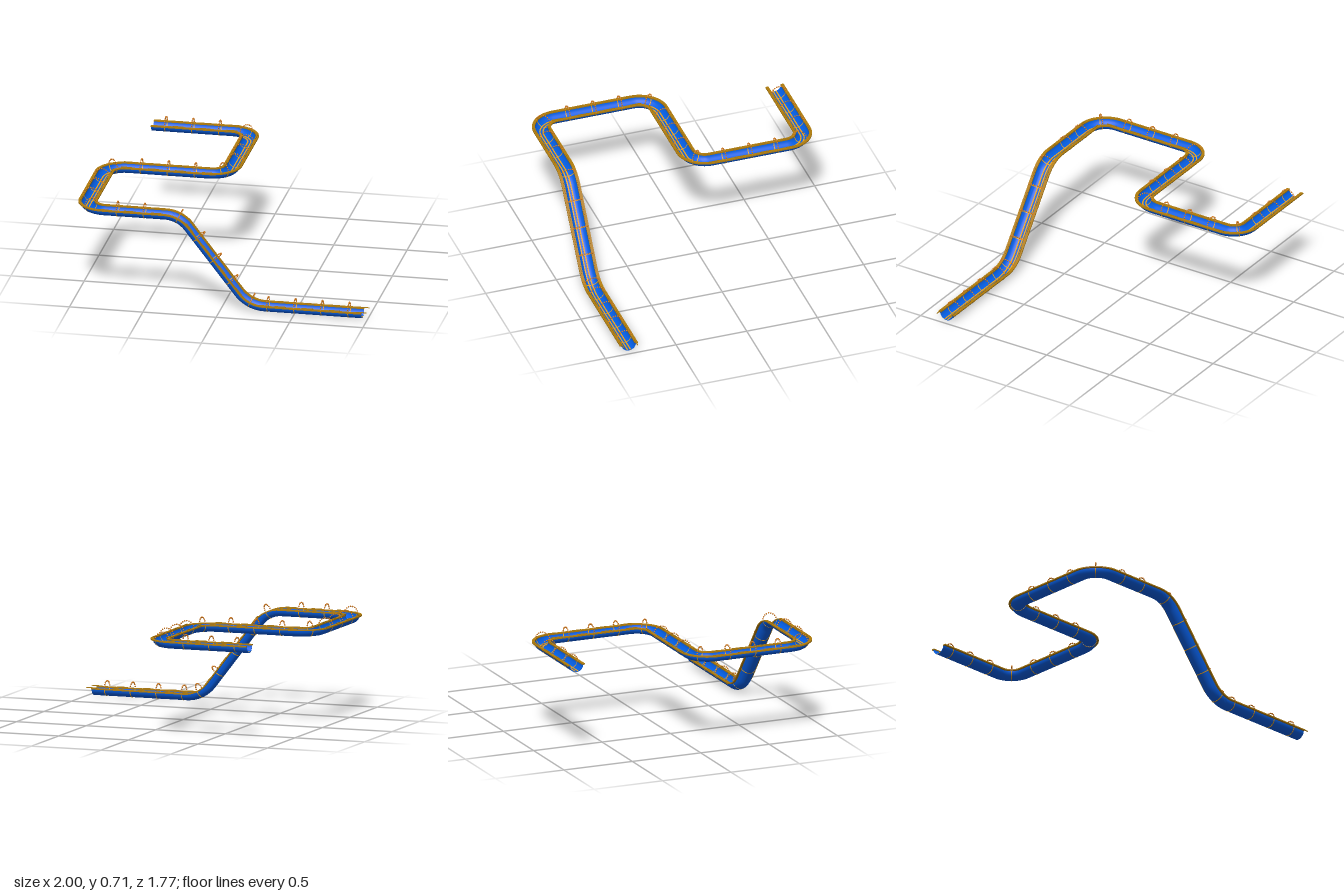
import * as THREE from 'three';
import { mergeGeometries, toCreasedNormals } from 'three/addons/utils/BufferGeometryUtils.js';

const V = (x, y, z) => new THREE.Vector3(x, y, z);
const PITCH = 0.184; // spacing of the arches on straight runs
const material = (name, color) => {
  const m = new THREE.MeshStandardMaterial({ color });
  m.name = name;
  return m;
};

// Matrix with x across the track, y out of the trough and z against travel
function frame(p, t) {
  const side = V().crossVectors(t, V(0, 1, 0)).normalize();
  const up = V().crossVectors(side, t).normalize();
  return new THREE.Matrix4().makeBasis(side, up, t.clone().negate()).setPosition(p);
}

// Straight runs joined by circular bends: [corner, bend radius]
function buildSections() {
  const route = [
    [V(-0.8, 0.655, -0.82), 0],
    [V(-0.115, 0.655, -0.82), 0.135],
    [V(-0.115, 0.655, 0), 0.135],
    [V(-0.935, 0.655, 0), 0.135],
    [V(-0.935, 0.655, 0.82), 0.135],
    [V(-0.277, 0.655, 0.82), 0.22],
    [V(0.194, 0.05, 0.82), 0.205],
    [V(0.962, 0.05, 0.82), 0],
  ];
  const sections = [];
  let from = route[0][0];
  for (let i = 1; i < route.length; i++) {
    const [corner, radius] = route[i];
    const dir = corner.clone().sub(route[i - 1][0]).normalize();
    const last = i === route.length - 1;
    const next = last ? dir : route[i + 1][0].clone().sub(corner).normalize();
    const angle = dir.angleTo(next);
    const start = corner.clone().addScaledVector(dir, -radius * Math.tan(angle / 2));
    const a = from, length = a.distanceTo(start);
    const cells = Math.round(length / PITCH);
    sections.push({
      cells, steps: 1,
      at: (t) => frame(a.clone().lerp(start, t), dir),
      // The last run is spaced from its far end
      cellToT: (u) => (last ? 1 - (cells - u) * PITCH / length : u * PITCH / length),
    });
    if (last) break;
    const inward = next.clone().addScaledVector(dir, -next.dot(dir)).normalize();
    const at = (t) => {
      const s = Math.sin(angle * t), c = Math.cos(angle * t);
      const p = start.clone().addScaledVector(dir, radius * s).addScaledVector(inward, radius * (1 - c));
      return frame(p, dir.clone().multiplyScalar(c).addScaledVector(inward, s));
    };
    sections.push({ cells: 1, steps: 14, at, cellToT: (u) => u });
    from = corner.clone().addScaledVector(next, radius * Math.tan(angle / 2));
  }
  return sections;
}

// Sweep a closed counter-clockwise profile along the frames, with end caps
function sweep(profile, frames) {
  const n = profile.length, positions = [], index = [];
  for (const m of frames) {
    for (const q of profile) positions.push(...V(q.x, q.y, 0).applyMatrix4(m).toArray());
  }
  for (let k = 0; k < frames.length - 1; k++) {
    for (let i = 0; i < n; i++) {
      const a = k * n + i, b = k * n + ((i + 1) % n);
      index.push(a, a + n, b, b, a + n, b + n);
    }
  }
  const end = (frames.length - 1) * n;
  for (const [a, b, c] of THREE.ShapeUtils.triangulateShape(profile, [])) {
    index.push(a, b, c, end + a, end + c, end + b);
  }
  const g = new THREE.BufferGeometry();
  g.setAttribute('position', new THREE.Float32BufferAttribute(positions, 3));
  g.setIndex(index);
  return toCreasedNormals(g, 0.6);
}

// Half-round wall
function troughProfile(outer, inner) {
  const points = [], n = 16;
  for (let i = 0; i <= n; i++) {
    const a = Math.PI * (1 + i / n);
    points.push(new THREE.Vector2(outer * Math.cos(a), outer * Math.sin(a)));
  }
  for (let i = n; i >= 0; i--) {
    const a = Math.PI * (1 + i / n);
    points.push(new THREE.Vector2(inner * Math.cos(a), inner * Math.sin(a)));
  }
  return points;
}

const rectProfile = (x, y, w, h) => [[-1, -1], [1, -1], [1, 1], [-1, 1]]
  .map(([u, v]) => new THREE.Vector2(x + u * w / 2, y + v * h / 2));

export function createModel() {
  const blue = material('trackBlue', 0x0464f2);
  const gold = material('rimGold', 0xb07c0c);
  const orange = material('lineOrange', 0xffb22a);
  const amber = material('beadAmber', 0xd27a1c);

  const group = new THREE.Group();
  const add = (name, geometry, mat) => {
    const mesh = new THREE.Mesh(geometry, mat);
    mesh.name = name;
    group.add(mesh);
  };

  // Frames along the whole route
  const sections = buildSections();
  const frames = [sections[0].at(0)];
  for (const s of sections) {
    for (let i = 1; i <= s.steps; i++) frames.push(s.at(i / s.steps));
  }

  // Trough, edge lips and the pair of lane lines
  add('trough', sweep(troughProfile(0.05, 0.046), frames), blue);
  for (const side of [-1, 1]) {
    const label = side < 0 ? 'Left' : 'Right';
    add('rim' + label, sweep(rectProfile(side * 0.0535, -0.001, 0.021, 0.008), frames), gold);
    add('laneLine' + label, sweep(rectProfile(side * 0.0105, -0.0433, 0.009, 0.004), frames), orange);
  }

  // One cell of fittings: beaded arch and seam band in the middle, guard rails at the end
  const beads = [], seams = [], rails = [];
  const bead = new THREE.SphereGeometry(0.0052, 10, 8);
  const ends = [0.003, -0.003].map((z) => new THREE.Matrix4().makeTranslation(0, 0, z));
  const seam = sweep(troughProfile(0.0512, 0.0448), ends);
  for (const s of sections) {
    for (let c = 0; c < s.cells; c++) {
      const middle = s.at(s.cellToT(c + 0.5)), end = s.at(s.cellToT(c + 1));
      for (let i = 0; i <= 10; i++) {
        const a = (Math.PI * i) / 10;
        beads.push(bead.clone().translate(0.05 * Math.cos(a), 0.05 * Math.sin(a), 0).applyMatrix4(middle));
      }
      seams.push(seam.clone().applyMatrix4(middle));
      for (const side of [-1, 1]) {
        rails.push(new THREE.BoxGeometry(0.005, 0.005, 0.076).translate(side * 0.05, 0.0055, 0).applyMatrix4(end));
      }
    }
  }
  add('beadedArches', mergeGeometries(beads), amber);
  add('seamBands', mergeGeometries(seams), orange);
  add('guardRails', mergeGeometries(rails), gold);
  return group;
}
